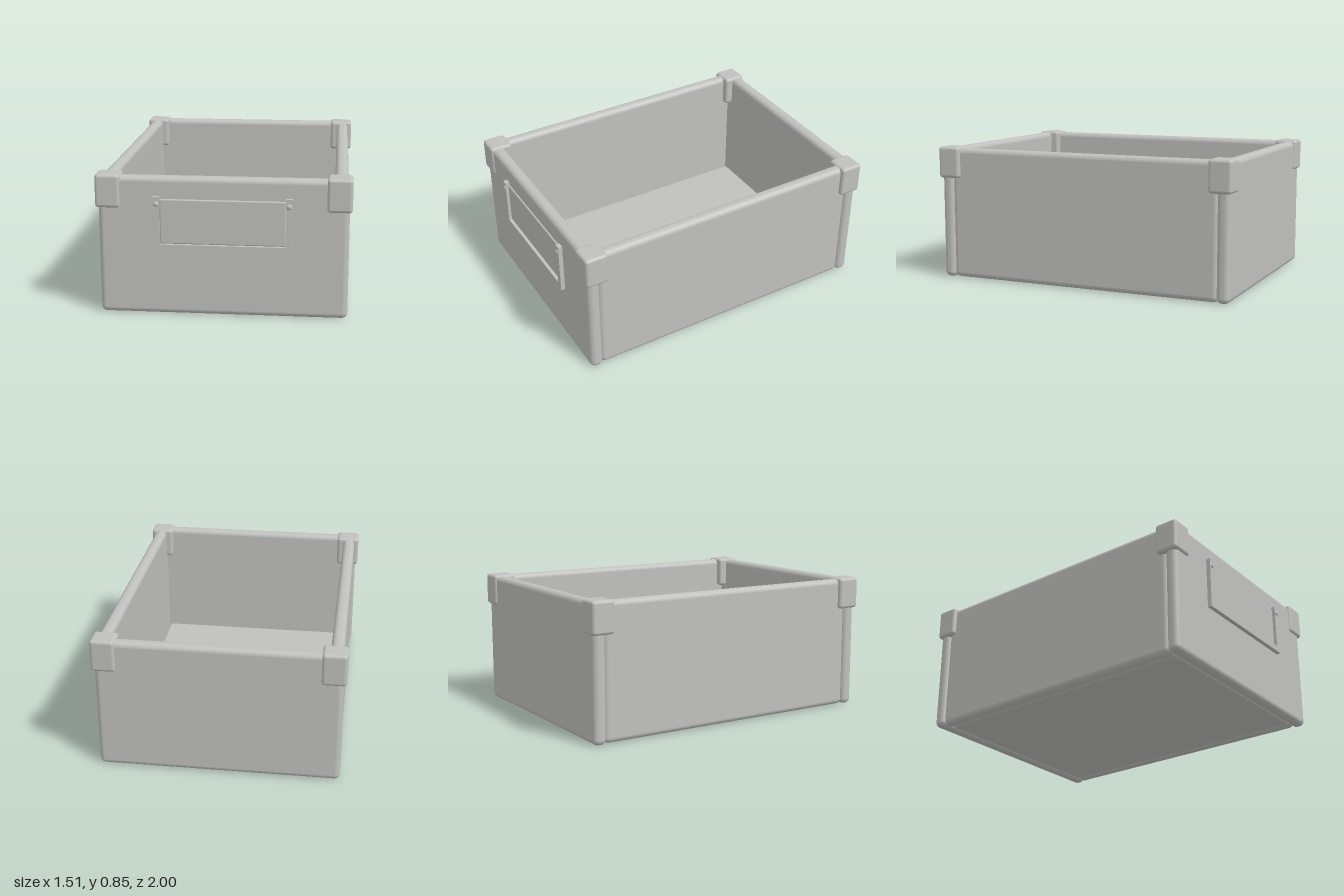
import * as THREE from 'three';
import { RoundedBoxGeometry } from 'three/addons/geometries/RoundedBoxGeometry.js';

export function createModel() {
  const model = new THREE.Group();
  model.name = 'storageBox';
  const grey = new THREE.MeshStandardMaterial({ color: 0xc0c0be });
  grey.name = 'grey';

  const add = (name, geometry, x, y, z, parent = model) => {
    const mesh = new THREE.Mesh(geometry, grey);
    mesh.name = name;
    mesh.position.set(x, y, z);
    parent.add(mesh);
    return mesh;
  };
  // Rounded block given by its min and max corners
  const block = (name, [x0, y0, z0], [x1, y1, z1], radius, parent) =>
    add(name, new RoundedBoxGeometry(x1 - x0, y1 - y0, z1 - z0, 4, radius),
      (x0 + x1) / 2, (y0 + y1) / 2, (z0 + z1) / 2, parent);

  // End walls, and the floor panel set between the walls
  block('frontWall', [-0.737, 0, 0.883], [0.737, 0.842, 0.964], 0.034);
  block('backWall', [-0.737, 0, -0.987], [0.737, 0.842, -0.905], 0.034);
  block('floor', [-0.655, 0.004, -0.91], [0.655, 0.078, 0.888], 0.03);

  // Side walls and the corner caps over each joint
  for (const s of [-1, 1]) {
    const side = s > 0 ? 'left' : 'right';
    const span = (a, b) => (s > 0 ? [a, b] : [-b, -a]);
    const [w0, w1] = span(0.648, 0.727);
    block(side + 'Wall', [w0, 0.002, -0.915], [w1, 0.842, 0.893], 0.034);
    const [c0, c1] = span(0.605, 0.753);
    block(side + 'FrontCap', [c0, 0.65, 0.83], [c1, 0.85, 0.977], 0.02);
    block(side + 'BackCap', [c0, 0.65, -1], [c1, 0.85, -0.855], 0.02);
  }

  // Label holder: a U-shaped frame, recessed card and two rivets
  const holder = new THREE.Group();
  holder.name = 'labelHolder';
  model.add(holder);
  const outline = [[-0.408, 0.4], [0.408, 0.4], [0.408, 0.728], [0.37, 0.728],
    [0.37, 0.44], [-0.37, 0.44], [-0.37, 0.728], [-0.408, 0.728]];
  const frame = new THREE.Shape(outline.map(([x, y]) => new THREE.Vector2(x, y)));
  add('labelFrame', new THREE.ExtrudeGeometry(frame, { depth: 0.03, bevelEnabled: false }),
    0, 0, 0.961, holder);
  block('labelCard', [-0.37, 0.44, 0.95], [0.37, 0.71, 0.974], 0.008, holder);
  for (const x of [-0.388, 0.388]) {
    const rivet = add('rivet', new THREE.SphereGeometry(0.018, 20, 12), x, 0.685, 0.986, holder);
    rivet.scale.z = 0.78;
  }
  return model;
}
